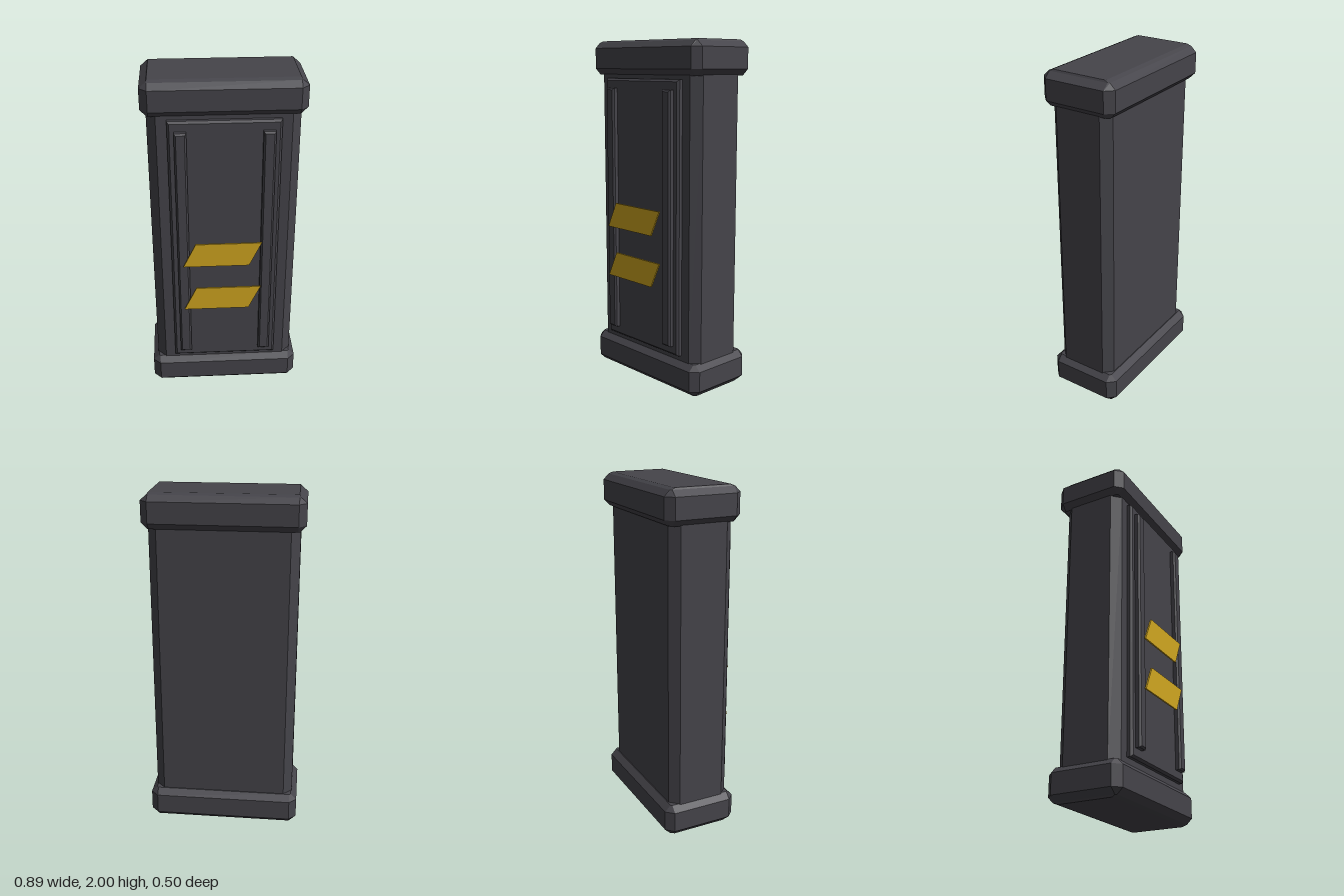
import * as THREE from 'three';

const dark = new THREE.MeshStandardMaterial({ color: 0x45444a, flatShading: true });
dark.name = 'charcoal';
const gold = new THREE.MeshStandardMaterial({ color: 0xd0a620 });
gold.name = 'gold';

// Box with clipped corners, stacked from rings [y, insetX, insetZ] going up
function chamferedBox(halfX, zBack, zFront, corner, rings) {
  const zMid = (zBack + zFront) / 2;
  const halfZ = (zFront - zBack) / 2;
  const loops = rings.map(([y, insetX, insetZ]) => {
    const x = halfX - insetX;
    const z = halfZ - insetZ;
    const cx = Math.max(0.004, corner - insetX);
    const cz = Math.max(0.004, corner - insetZ);
    return [
      [x, z - cz], [x - cx, z], [-x + cx, z], [-x, z - cz],
      [-x, -z + cz], [-x + cx, -z], [x - cx, -z], [x, -z + cz],
    ].map(([px, pz]) => new THREE.Vector3(px, y, pz + zMid));
  });
  const points = [];
  for (let i = 0; i < loops.length - 1; i++) {
    const low = loops[i], high = loops[i + 1];
    for (let j = 0; j < 8; j++) {
      const k = (j + 1) % 8;
      points.push(low[j], high[j], low[k], low[k], high[j], high[k]);
    }
  }
  const bottom = loops[0], top = loops[loops.length - 1];
  for (let j = 1; j < 7; j++) {
    points.push(bottom[0], bottom[j], bottom[j + 1]);
    points.push(top[0], top[j + 1], top[j]);
  }
  const geometry = new THREE.BufferGeometry().setFromPoints(points);
  geometry.computeVertexNormals();
  return geometry;
}

// Plate whose front edges are bevelled, back against z = zBack
function bevelledPlate(width, height, zBack, zFront, bevel) {
  const w = width / 2 - bevel, h = height / 2 - bevel;
  const shape = new THREE.Shape();
  shape.moveTo(-w, -h).lineTo(w, -h).lineTo(w, h).lineTo(-w, h).closePath();
  const geometry = new THREE.ExtrudeGeometry(shape, {
    depth: zFront - zBack - 2 * bevel,
    bevelEnabled: true, bevelSize: bevel, bevelThickness: bevel, bevelSegments: 1,
  });
  return geometry.translate(0, 0, zBack + bevel);
}

export function createModel() {
  const model = new THREE.Group();
  model.name = 'pillarCabinet';
  const add = (name, geometry, material, x = 0, y = 0) => {
    const mesh = new THREE.Mesh(geometry, material);
    mesh.name = name;
    mesh.position.set(x, y, 0);
    model.add(mesh);
  };

  // Main column with chamfered upright edges
  add('body', chamferedBox(0.415, -0.21, 0.163, 0.05, [[0.15, 0, 0], [1.85, 0, 0]]), dark);

  // Base and crown are the same block, flipped in height
  const profile = [[0, 0.043, 0.058], [0.01, 0.037, 0.033], [0.042, 0, 0], [0.16, 0, 0], [0.195, 0.035, 0.035]];
  const flipped = profile.map(([y, a, b]) => [2 - y, a, b]).reverse();
  add('base', chamferedBox(0.445, -0.25, 0.195, 0.043, profile), dark);
  add('crown', chamferedBox(0.445, -0.25, 0.195, 0.043, flipped), dark);

  // Raised front panel with two upright rails
  add('frontPanel', bevelledPlate(0.614, 1.56, 0.14, 0.195, 0.012), dark, 0, 1.005);
  for (const side of [-1, 1]) {
    add(side < 0 ? 'rightRail' : 'leftRail',
      bevelledPlate(0.067, 1.45, 0.18, 0.227, 0.01), dark, side * 0.238, 1.005);
  }

  // Slanted gold stripes standing just off the rails
  const slant = new THREE.Shape();
  slant.moveTo(-0.24, 0).lineTo(0.138, 0).lineTo(0.208, 0.148).lineTo(-0.168, 0.148).closePath();
  const stripe = new THREE.ExtrudeGeometry(slant, { depth: 0.0095, bevelEnabled: false }).translate(0, 0, 0.236);
  add('upperStripe', stripe, gold, 0, 0.912);
  add('lowerStripe', stripe, gold, 0, 0.612);

  return model;
}
